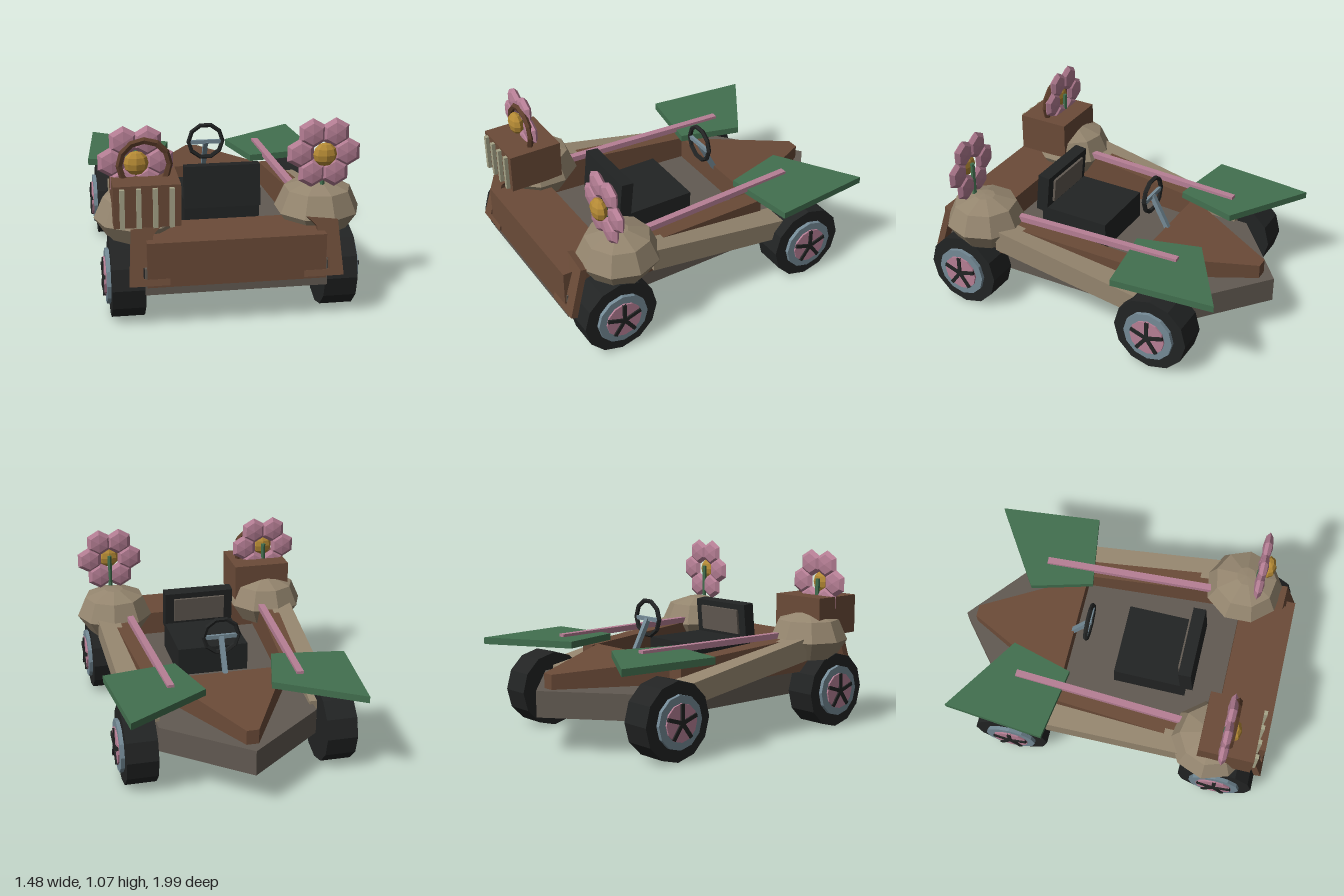
import * as THREE from 'three';
import { ConvexGeometry } from 'three/addons/geometries/ConvexGeometry.js';

export function createModel() {
  const root = new THREE.Group();
  root.name = 'flowerKart';

  const mat = (name, color) => {
    const m = new THREE.MeshStandardMaterial({ color, flatShading: true });
    m.name = name;
    return m;
  };
  const wood = mat('wood', 0x6b4b38);
  const darkWood = mat('darkWood', 0x5c3d2b);
  const stone = mat('stone', 0x95866f);
  const floorGrey = mat('floorGrey', 0x625a52);
  const black = mat('black', 0x222424);
  const steel = mat('steel', 0x748a96);
  const pink = mat('pink', 0xb67f95);
  const gold = mat('gold', 0xb58a35);
  const green = mat('green', 0x42704f);
  const cream = mat('cream', 0xa6a488);

  const add = (name, geo, material, x = 0, y = 0, z = 0, parent = root) => {
    const m = new THREE.Mesh(geo, material);
    m.name = name;
    m.position.set(x, y, z);
    parent.add(m);
    return m;
  };
  const box = (w, h, d) => new THREE.BoxGeometry(w, h, d);

  // Solid between two rectangles, each [x0, x1, y0, y1, z]
  const loft = (...sections) => new ConvexGeometry(sections.flatMap(([x0, x1, y0, y1, z]) =>
    [[x0, y0], [x1, y0], [x1, y1], [x0, y1]].map(([x, y]) => new THREE.Vector3(x, y, z))));

  // Flat slab from an [x, z] outline, hanging below its local y = 0
  const outline = (pts) => new THREE.Shape(pts.map(([x, y]) => new THREE.Vector2(x, y)));
  const slab = (pts, depth) =>
    new THREE.ExtrudeGeometry(outline(pts), { depth, bevelEnabled: false }).rotateX(Math.PI / 2);

  // Bar between two points
  const bar = (name, a, b, w, h, material) => {
    const p = new THREE.Vector3(...a), q = new THREE.Vector3(...b);
    const m = add(name, box(w, h, p.distanceTo(q)), material);
    m.position.copy(p).add(q).multiplyScalar(0.5);
    m.lookAt(q);
    return m;
  };

  // Chassis
  add('floor', slab([[0, -1], [0.46, -0.62], [0.49, 0.97], [-0.49, 0.97], [-0.46, -0.62]], 0.15),
    floorGrey, 0, 0.35, 0);
  add('nose', loft([-0.035, 0.035, 0.34, 0.435, -0.92], [-0.36, 0.36, 0.34, 0.49, -0.3]), wood);
  add('tailBox', box(0.96, 0.25, 0.32), wood, 0, 0.37, 0.82);

  // Seat
  add('seatBase', box(0.43, 0.18, 0.44), black, 0, 0.43, 0.22);
  const back = new THREE.Group();
  back.name = 'seatBack';
  back.position.set(0, 0.49, 0.445);
  back.rotation.x = -0.1;
  root.add(back);
  add('backrest', box(0.43, 0.24, 0.075), black, 0, 0.12, 0, back);
  add('backPad', box(0.32, 0.15, 0.02), floorGrey, 0, 0.13, -0.042, back);

  // Steering
  add('steeringWheel', new THREE.TorusGeometry(0.105, 0.014, 5, 10), black, 0, 0.68, -0.2);
  add('steeringCrossbar', box(0.2, 0.024, 0.018), steel, 0, 0.675, -0.2);
  bar('steeringColumn', [0, 0.675, -0.2], [0, 0.47, -0.31], 0.028, 0.028, steel);

  // Wheel with rim, hub disc and five spokes; s is the outward side
  const disc = (r, w, n) => new THREE.CylinderGeometry(r, r, w, n).rotateZ(Math.PI / 2);
  const wheel = (s, z) => {
    const g = new THREE.Group();
    g.name = 'wheel';
    g.position.set(s * 0.575, 0.223, z);
    root.add(g);
    add('tyre', disc(0.225, 0.18, 12), black, 0, 0, 0, g);
    add('rim', disc(0.153, 0.04, 12), steel, s * 0.092, 0, 0, g);
    add('hubDisc', disc(0.108, 0.03, 12), pink, s * 0.107, 0, 0, g);
    for (let i = 0; i < 5; i++) {
      const a = i * Math.PI * 2 / 5;
      add('spoke', box(0.014, 0.108, 0.022), black,
        s * 0.124, Math.cos(a) * 0.052, Math.sin(a) * 0.052, g).rotation.x = a;
    }
  };

  // Flower: six faceted petals around a gold centre
  const petalGeo = new THREE.SphereGeometry(0.085, 6, 4).rotateX(Math.PI / 2).scale(1, 1, 0.34);
  petalGeo.rotateZ(Math.PI / 6);
  const flower = (x) => {
    const g = new THREE.Group();
    g.name = 'flower';
    g.position.set(x, 0.87, 0.73);
    root.add(g);
    for (let i = 0; i < 6; i++) {
      const a = i * Math.PI / 3;
      add('petal', petalGeo, pink, Math.cos(a) * 0.127, Math.sin(a) * 0.127, 0, g);
    }
    add('flowerCentre', new THREE.SphereGeometry(0.066, 8, 6).scale(1, 1, 0.65), gold, 0, 0, 0.034, g);
    add('stem', new THREE.CylinderGeometry(0.014, 0.014, 0.24, 6), green, 0, -0.1, -0.012, g);
  };

  // Boulder profile
  const boulder = [[0, 0.41], [0.165, 0.42], [0.238, 0.53], [0.185, 0.65], [0.06, 0.693], [0, 0.697]]
    .map(([r, y]) => new THREE.Vector2(r, y));

  for (const s of [-1, 1]) {
    const X = (pts) => pts.map(([x, y]) => [s * x, y]);
    wheel(s, 0.73);
    wheel(s, -0.54);
    flower(s * 0.51);
    add('boulder', new THREE.LatheGeometry(boulder, 9), stone, s * 0.5, 0, 0.65).rotation.y = s * 0.2;
    add('sideWall', loft([s * 0.36, s * 0.46, 0.34, 0.485, -0.34],
      [s * 0.43, s * 0.555, 0.34, 0.56, 0.68]), wood);
    add('sidePod', loft([s * 0.44, s * 0.595, 0.25, 0.37, -0.55],
      [s * 0.5, s * 0.63, 0.425, 0.56, 0.5]), stone);
    add('leafWing', slab(X([[0.66, -0.92], [0.19, -0.62], [0.29, -0.255], [0.72, -0.32]]), 0.04),
      green, 0, 0.558, 0);
    bar('wingRod', [s * 0.43, 0.558, 0.46], [s * 0.375, 0.558, -0.56], 0.04, 0.034, pink);

    // Leaning corner bracket at the tail
    const shape = outline(X([[0.36, 0], [0.575, 0], [0.555, 0.3], [0.39, 0.32],
      [0.44, 0.27], [0.46, 0.1], [0.5, 0.1], [0.5, 0.035], [0.36, 0.035]]));
    add('cornerBracket', new THREE.ExtrudeGeometry(shape, { depth: 0.04, bevelEnabled: false }),
      wood, 0, 0.25, 0.955).rotation.x = -0.28;
  }

  // Basket with slats and a hoop handle
  add('basket', box(0.355, 0.23, 0.32), wood, -0.467, 0.675, 0.75);
  for (let i = 0; i < 4; i++) {
    add('basketSlat', box(0.026, 0.215, 0.024), cream, -0.6 + i * 0.087, 0.67, 0.92);
  }
  add('basketHandle', new THREE.TorusGeometry(0.133, 0.019, 5, 12), darkWood, -0.466, 0.855, 0.755);

  return root;
}
